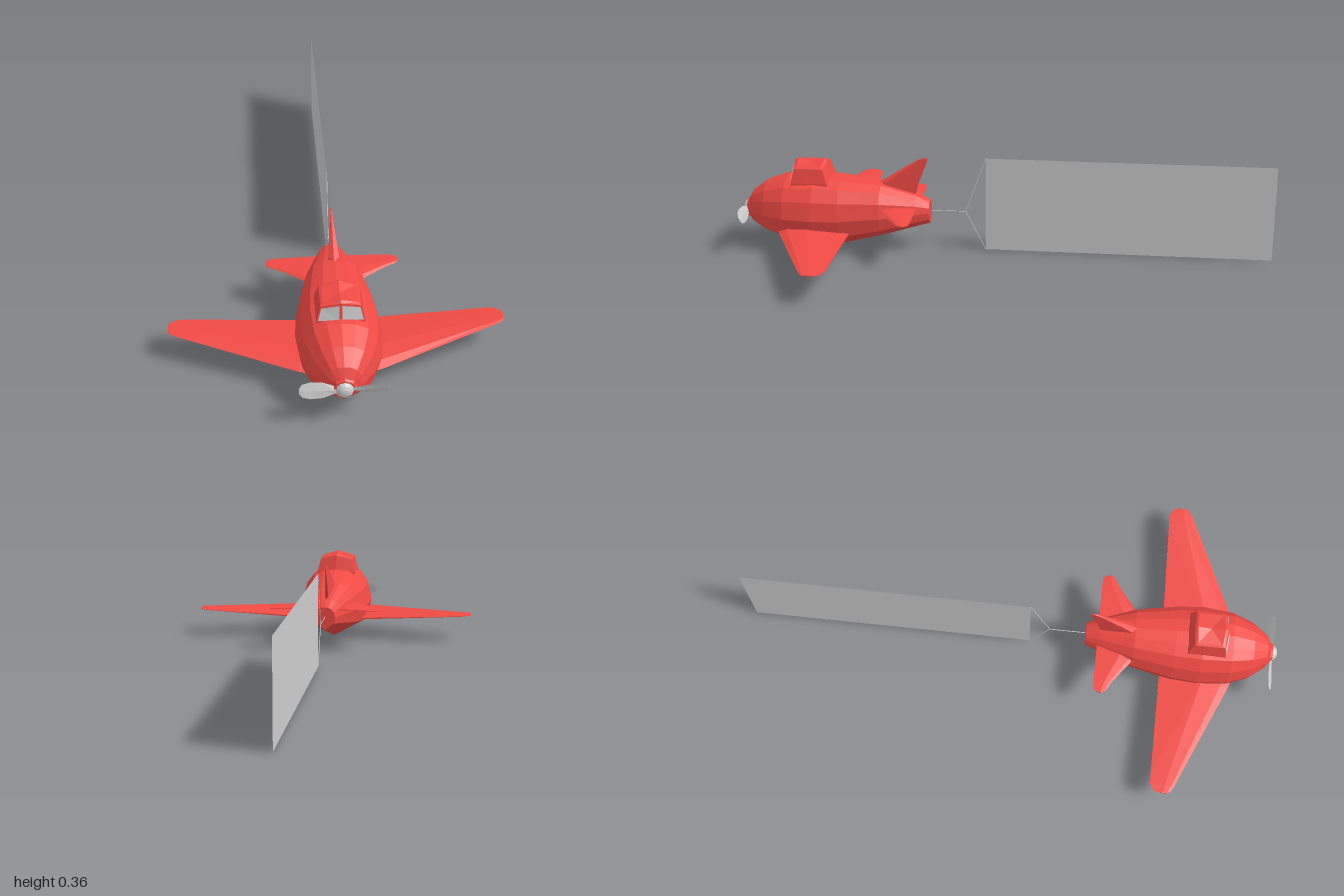
import * as THREE from 'three';

const red = new THREE.MeshStandardMaterial({ color: 0xf04a44, flatShading: true });
const grey = new THREE.MeshStandardMaterial({ color: 0xcccccc, flatShading: true, side: THREE.DoubleSide });

// Closed faceted solid through rings of [x, y, z] points; faces always point outwards
function loft(rings) {
  const n = rings[0].length;
  const pos = rings.flat(2);
  const tris = [];
  for (let r = 0; r < rings.length - 1; r++) {
    for (let i = 0; i < n; i++) {
      const a = r * n + i, b = r * n + (i + 1) % n;
      tris.push([a, b, b + n], [a, b + n, a + n]);
    }
  }
  // end caps as fans around the ring centres
  [0, rings.length - 1].forEach((r, end) => {
    const c = pos.length / 3;
    for (let k = 0; k < 3; k++) pos.push(rings[r].reduce((s, p) => s + p[k], 0) / n);
    for (let i = 0; i < n; i++) {
      const a = r * n + i, b = r * n + (i + 1) % n;
      tris.push(end ? [a, b, c] : [b, a, c]);
    }
  });
  // signed volume decides the winding
  const v = i => new THREE.Vector3().fromArray(pos, i * 3);
  const volume = tris.reduce((s, t) => s + v(t[0]).dot(v(t[1]).cross(v(t[2]))), 0);
  if (volume < 0) tris.forEach(t => t.reverse());
  const geo = new THREE.BufferGeometry();
  geo.setAttribute('position', new THREE.Float32BufferAttribute(pos, 3));
  geo.setIndex(tris.flat());
  geo.computeVertexNormals();
  return geo;
}

// Wing from stations [x, leading z, trailing z, mid y, half thickness]
function wing(stations, side) {
  return loft(stations.map(([x, zf, zb, y, t]) => {
    const at = (u, h) => [side * x, y + h * t, zf + (zb - zf) * u];
    return [at(0, 0), at(0.12, 0.75), at(0.4, 1), at(1, 0.15), at(1, -0.15), at(0.4, -1), at(0.12, -0.75)];
  }));
}

function cord(a, b) {
  const curve = new THREE.LineCurve3(new THREE.Vector3(...a), new THREE.Vector3(...b));
  return new THREE.TubeGeometry(curve, 1, 0.0015, 5);
}

export function createModel() {
  const plane = new THREE.Group();
  plane.name = 'bannerPlane';
  const add = (name, geo, mat, parent = plane) => {
    const mesh = new THREE.Mesh(geo, mat);
    mesh.name = name;
    parent.add(mesh);
    return mesh;
  };

  // Fuselage: keeled section scaled along z
  const half = [[0, 1], [0.34, 0.96], [0.65, 0.8], [0.88, 0.48], [1, 0], [0.9, -0.5]];
  const section = [...half, [0, -1], ...half.slice(1).reverse().map(([x, y]) => [-x, y])];
  // z, half width, middle y, top y, bottom y
  const stations = [
    [0.972, 0.036, 0.14, 0.18, 0.1], [0.955, 0.062, 0.14, 0.212, 0.078],
    [0.9, 0.103, 0.14, 0.25, 0.04], [0.82, 0.135, 0.14, 0.277, 0.014],
    [0.71, 0.146, 0.14, 0.283, 0.005], [0.61, 0.138, 0.14, 0.275, 0.006],
    [0.46, 0.108, 0.145, 0.258, 0.045], [0.33, 0.06, 0.15, 0.215, 0.085],
    [0.28, 0.04, 0.15, 0.19, 0.1],
  ];
  add('fuselage', loft(stations.map(([z, w, y, top, bottom]) =>
    section.map(([u, v]) => [u * w, y + v * (v > 0 ? top - y : y - bottom), z]))), red);

  // Nose collar behind the spinner
  const collar = new THREE.CylinderGeometry(0.036, 0.048, 0.02, 8);
  collar.rotateX(Math.PI / 2).translate(0, 0.14, 0.97);
  add('noseCollar', collar, red);

  // Wings and tailplanes
  for (const side of [1, -1]) {
    const name = side > 0 ? 'left' : 'right';
    add(name + 'Wing', wing([
      [0.08, 0.85, 0.572, 0.086, 0.021], [0.14, 0.83, 0.57, 0.088, 0.018],
      [0.5, 0.672, 0.565, 0.106, 0.005], [0.54, 0.655, 0.566, 0.108, 0.004],
      [0.566, 0.638, 0.583, 0.109, 0.003], [0.57, 0.63, 0.595, 0.109, 0.002],
    ], side), red);
    add(name + 'Tailplane', wing([
      [0.02, 0.5, 0.325, 0.172, 0.013], [0.1, 0.46, 0.325, 0.172, 0.01],
      [0.19, 0.392, 0.325, 0.17, 0.005], [0.222, 0.374, 0.328, 0.169, 0.004],
      [0.233, 0.362, 0.342, 0.169, 0.003],
    ], side), red);
  }

  // Tail fin: leaning, tapering sections; y, front z, back z, half thickness
  add('tailFin', loft([
    [0.19, 0.49, 0.34, 0.022], [0.258, 0.468, 0.322, 0.019],
    [0.335, 0.347, 0.292, 0.006], [0.35, 0.32, 0.287, 0.004], [0.356, 0.302, 0.289, 0.002],
  ].map(([y, zf, zb, t]) => [
    [0, y, zf], [t, y, zf - (zf - zb) * 0.15], [t * 0.3, y, zb], [-t * 0.3, y, zb], [-t, y, zf - (zf - zb) * 0.15],
  ])), red);

  // Canopy with a bowed front and a crowned roof; half width, centre y, side y, front z, back z
  add('canopy', loft([
    [0.08, 0.25, 0.24, 0.802, 0.648], [0.079, 0.272, 0.266, 0.8, 0.65],
    [0.066, 0.335, 0.319, 0.79, 0.668], [0.058, 0.341, 0.324, 0.78, 0.678],
  ].map(([w, yc, ys, zf, zb]) => [
    [0, yc, zf], [w, ys, zf - 0.008], [w, ys, zb + 0.006],
    [0, yc, zb], [-w, ys, zb + 0.006], [-w, ys, zf - 0.008],
  ])), red);
  // Two windscreen panes just proud of the canopy front
  for (const s of [1, -1]) {
    const pane = new THREE.BufferGeometry();
    pane.setAttribute('position', new THREE.Float32BufferAttribute([
      s * 0.005, 0.274, 0.802, s * 0.074, 0.27, 0.795,
      s * 0.063, 0.314, 0.786, s * 0.005, 0.327, 0.793,
    ], 3));
    pane.setIndex(s > 0 ? [0, 1, 2, 0, 2, 3] : [2, 1, 0, 3, 2, 0]);
    pane.computeVertexNormals();
    add('windscreenPane', pane, grey);
  }

  // Propeller: domed spinner and two pitched blades
  const propeller = new THREE.Group();
  propeller.name = 'propeller';
  propeller.position.set(0, 0.14, 0.978);
  plane.add(propeller);
  const profile = [[0, -0.01], [0.029, -0.01], [0.03, 0], [0.024, 0.013], [0.013, 0.02], [0, 0.022]];
  const spinner = new THREE.LatheGeometry(profile.map(p => new THREE.Vector2(...p)), 12);
  add('spinner', spinner.rotateX(Math.PI / 2), grey, propeller);
  const blade = loft([
    [0.01, 0.009, 0.004], [0.035, 0.013, 0.004], [0.07, 0.024, 0.003],
    [0.11, 0.026, 0.002], [0.135, 0.02, 0.002], [0.145, 0.008, 0.001],
  ].map(([x, w, t]) => [[x, w, w * 0.4], [x, 0, t], [x, -w, -w * 0.4], [x, 0, -t]]));
  for (const turn of [0, Math.PI]) add('blade', blade, grey, propeller).rotation.z = turn;

  // Tow line with its bridle, and the banner
  const tow = new THREE.Group();
  tow.name = 'towedBanner';
  plane.add(tow);
  const knot = [0, 0.15, 0.145];
  add('towLine', cord([0, 0.15, 0.29], knot), grey, tow);
  for (const y of [0.002, 0.361]) add('bridle', cord(knot, [0, y, 0.07]), grey, tow);
  const banner = new THREE.PlaneGeometry(1.07, 0.362);
  banner.rotateY(Math.PI / 2).translate(0, 0.181, -0.465);
  add('banner', banner, grey, tow);

  return plane;
}
